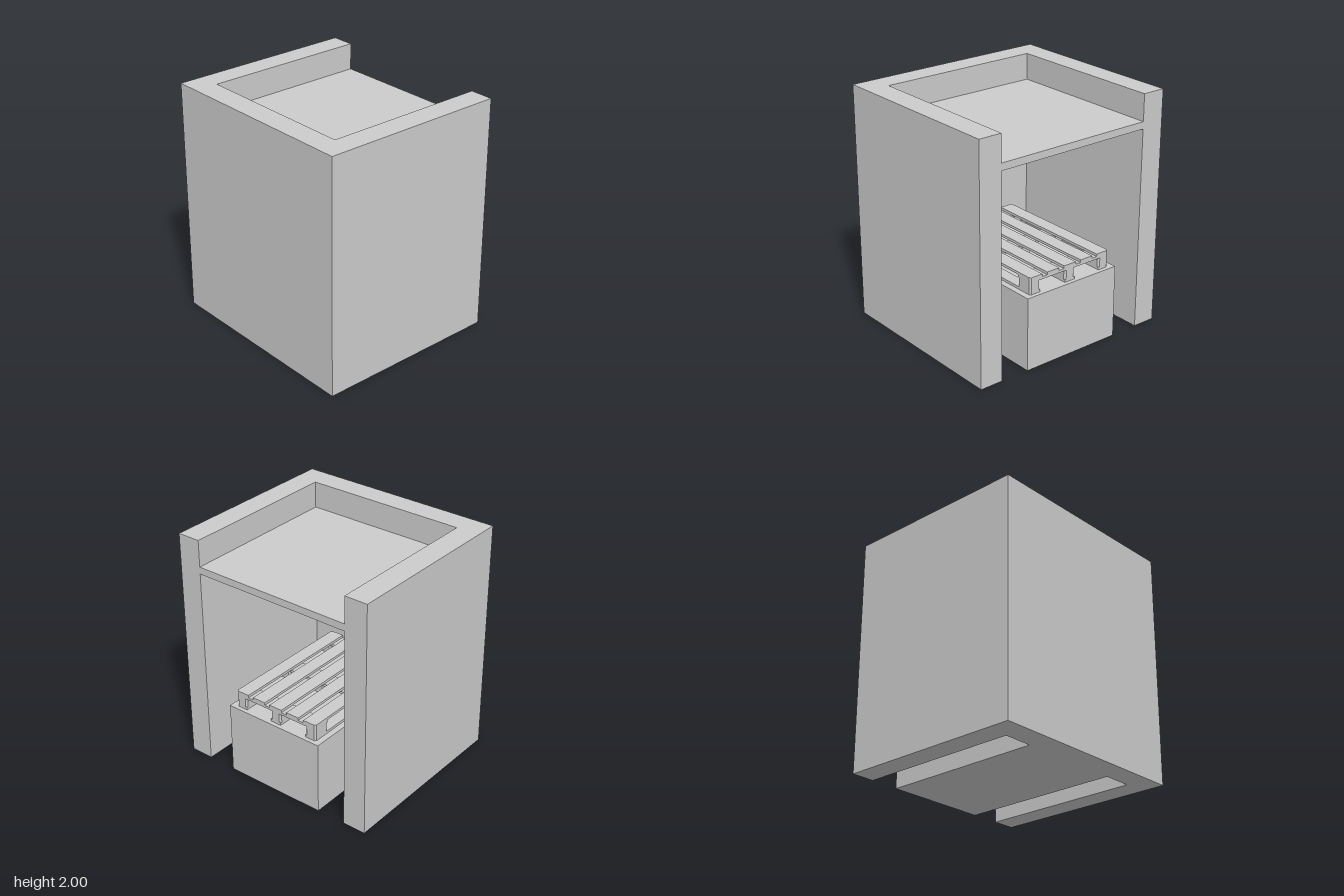
import * as THREE from 'three';

const material = new THREE.MeshStandardMaterial({ color: 0xcccccc, flatShading: true });

// Upright prism from a plan outline of [x, z] points, between heights y0 and y1
function prism(name, points, y0, y1) {
  const shape = new THREE.Shape(points.map(([x, z]) => new THREE.Vector2(x, -z)));
  const geometry = new THREE.ExtrudeGeometry(shape, { depth: y1 - y0, bevelEnabled: false });
  geometry.rotateX(-Math.PI / 2).translate(0, y0, 0);
  const mesh = new THREE.Mesh(geometry, material);
  mesh.name = name;
  return mesh;
}

// Rectangular outline; cut(x, z) gives the chamfer size of each corner
function outline(x0, x1, z0, z1, cut = () => 0) {
  const points = [];
  const corner = (x, z, sx, sz, zFirst) => {
    const c = cut(x, z);
    if (!c) return points.push([x, z]);
    const alongZ = [x, z + sz * c], alongX = [x + sx * c, z];
    points.push(...(zFirst ? [alongZ, alongX] : [alongX, alongZ]));
  };
  corner(x0, z1, 1, -1, true);
  corner(x1, z1, -1, -1, false);
  corner(x1, z0, -1, 1, true);
  corner(x0, z0, 1, 1, false);
  return points;
}

function createPallet() {
  const pallet = new THREE.Group();
  pallet.name = 'pallet';
  const L = 1.2, W = 0.8, chamfer = 0.014;
  const outerCorner = (x, z) =>
    Math.abs(Math.abs(x) - L / 2) < 1e-6 && Math.abs(Math.abs(z) - W / 2) < 1e-6 ? chamfer : 0;
  const columns = [-(L - 0.145) / 2, 0, (L - 0.145) / 2];
  const rows = [-0.35, 0, 0.35];
  const add = (name, x, z, w, d, y0, y1, cut) =>
    pallet.add(prism(name, outline(x - w / 2, x + w / 2, z - d / 2, z + d / 2, cut), y0, y1));

  // Bottom runners with chamfered blocks standing on them
  for (const z of rows) {
    add('bottomBoard', 0, z, L, 0.1, 0, 0.022, outerCorner);
    for (const x of columns) add('spacerBlock', x, z, 0.145, 0.1, 0.022, 0.1, () => chamfer);
  }
  // Cross boards and deck boards
  for (const x of columns) add('crossBoard', x, 0, 0.145, W, 0.1, 0.122, outerCorner);
  for (let i = -2; i <= 2; i++) add('deckBoard', 0, i * 0.17, L, 0.12, 0.122, 0.144, outerCorner);
  return pallet;
}

export function createModel() {
  const model = new THREE.Group();
  model.name = 'palletStation';
  const open = 0.797;

  // Three walls, open on the left side
  model.add(prism('walls', [
    [-0.8, 0.9], [open, 0.9], [open, 0.7], [-0.6, 0.7],
    [-0.6, -0.7], [open, -0.7], [open, -0.9], [-0.8, -0.9],
  ], 0, 2));

  // Roof slab sunk below the wall tops
  model.add(prism('roof', outline(-0.6, open, -0.7, 0.7), 1.715, 1.775));

  // Plinth carrying the pallet
  model.add(prism('plinth', outline(-0.6, 0.8, -0.45, 0.45), 0, 0.62));

  const pallet = createPallet();
  pallet.position.set(0.165, 0.62, 0);
  model.add(pallet);
  return model;
}
